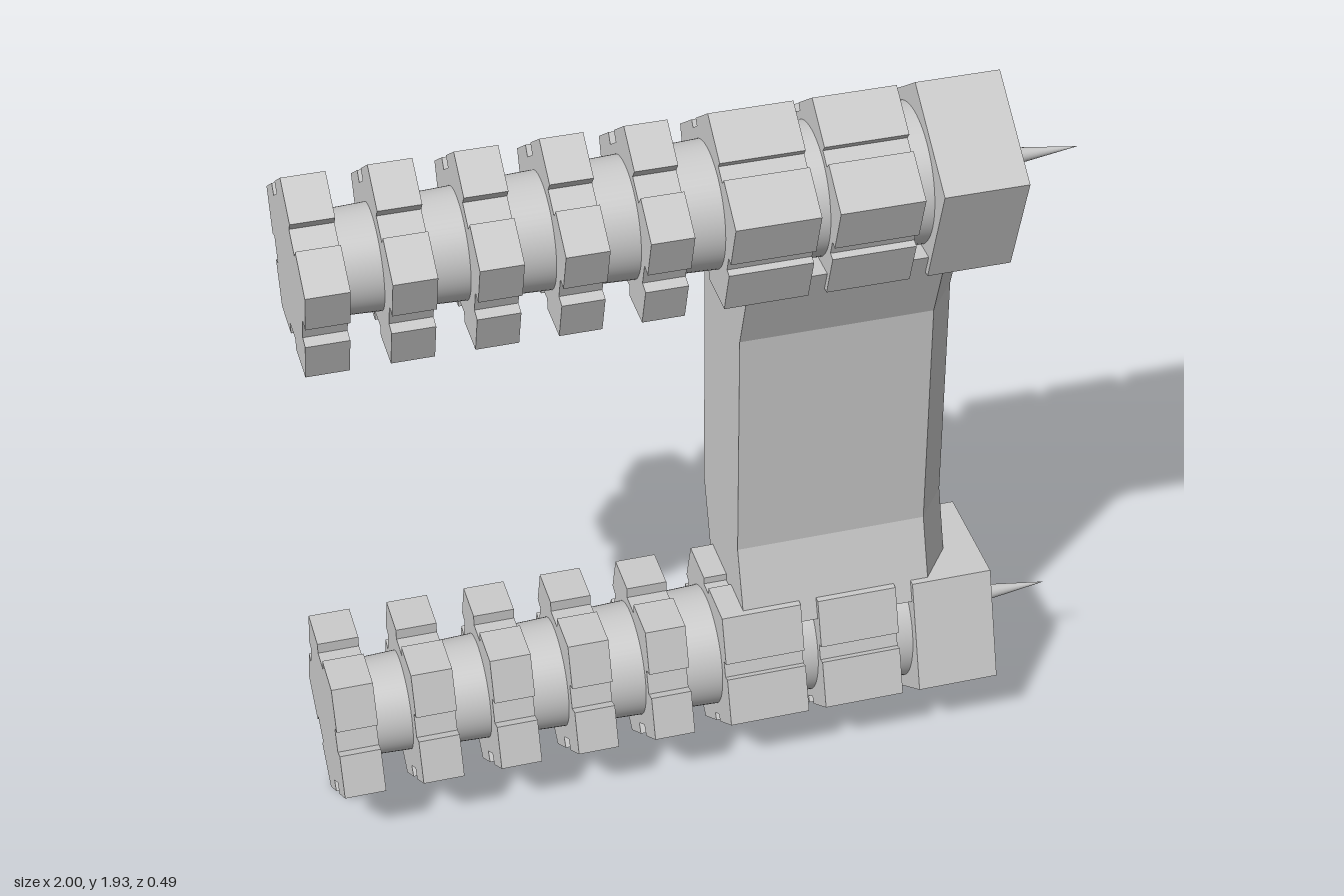
import * as THREE from 'three';

const grey = () => new THREE.MeshStandardMaterial({ color: 0xcccccc });

function part(name, geometry, parent) {
  const mesh = new THREE.Mesh(geometry, grey());
  mesh.name = name;
  parent.add(mesh);
  return mesh;
}

const R = 0.26; // pentagon corner radius

// Pentagon with one corner up; each side may carry a central groove
function pentagon(grooveWidth = 0, grooveDepth = 0) {
  const points = [];
  const apothem = R * Math.cos(Math.PI / 5);
  for (let i = 0; i < 5; i++) {
    const a = Math.PI / 2 + (i * 2 * Math.PI) / 5;
    points.push(new THREE.Vector2(R * Math.cos(a), R * Math.sin(a)));
    if (!grooveWidth) continue;
    const m = a + Math.PI / 5; // direction of the side's middle
    const n = new THREE.Vector2(Math.cos(m), Math.sin(m));
    const t = new THREE.Vector2(-n.y, n.x);
    const h = grooveWidth / 2;
    for (const [s, d] of [[-h, 0], [-h, grooveDepth], [h, grooveDepth], [h, 0]]) {
      points.push(n.clone().multiplyScalar(apothem - d).addScaledVector(t, s));
    }
  }
  return new THREE.Shape(points);
}

// Extrude a shape along x between two positions
function alongX(shape, x0, x1) {
  const g = new THREE.ExtrudeGeometry(shape, { depth: x1 - x0, bevelEnabled: false, curveSegments: 24 });
  return g.rotateY(Math.PI / 2).translate(x0, 0, 0);
}

function createBarrel(name) {
  const barrel = new THREE.Group();
  barrel.name = name;

  // Tapered round core, its end forming the floor of the socket
  const core = new THREE.CylinderGeometry(0.186, 0.127, 1.67, 64).rotateZ(-Math.PI / 2);
  part('core', core.translate(-0.115, 0, 0), barrel);

  // Narrow grooved rings
  for (let i = 0; i < 5; i++) {
    const x = -1 + i * 0.2075;
    part('narrowRing', alongX(pentagon(0.068, 0.03), x, x + 0.108), barrel);
  }
  // Wide rings with finer grooves
  for (const x of [0.038, 0.3]) {
    part('wideRing', alongX(pentagon(0.044, 0.02), x, x + 0.215), barrel);
  }

  // Plain end block with a round socket
  const block = pentagon();
  block.holes.push(new THREE.Path().absarc(0, 0, 0.105, 0, Math.PI * 2, true));
  part('endBlock', alongX(block, 0.562, 0.78), barrel);

  // Spike standing in the socket
  const spike = new THREE.ConeGeometry(0.036, 0.28, 32).rotateZ(-Math.PI / 2);
  part('spike', spike.translate(0.86, 0, 0), barrel);
  return barrel;
}

// Bent bridge: one chamfered section carried through four levels
function createBridge() {
  const section = [[0.1, 0.08], [0.61, 0.08], [0.69, -0.025], [0.69, -0.13], [0.61, -0.24], [0.1, -0.24]];
  const shape = new THREE.Shape(section.map(([x, z]) => new THREE.Vector2(x, -z)));
  const g = new THREE.ExtrudeGeometry(shape, { depth: 3, steps: 3, bevelEnabled: false });
  g.rotateX(-Math.PI / 2);
  const levels = [0.413, 0.633, 1.3, 1.52];
  const shift = [0.075, 0, 0, 0.075];
  const p = g.attributes.position;
  for (let i = 0; i < p.count; i++) {
    const k = Math.round(p.getY(i));
    p.setY(i, levels[k]);
    p.setZ(i, p.getZ(i) + shift[k]);
  }
  g.computeVertexNormals();
  return g;
}

export function createModel() {
  const model = new THREE.Group();
  model.name = 'twinBarrelFrame';

  const upper = createBarrel('upperBarrel');
  upper.position.y = 1.673;
  const lower = createBarrel('lowerBarrel');
  lower.position.y = R;
  lower.rotation.x = Math.PI; // corner pointing down
  model.add(upper, lower);

  part('bridge', createBridge(), model);
  return model;
}
